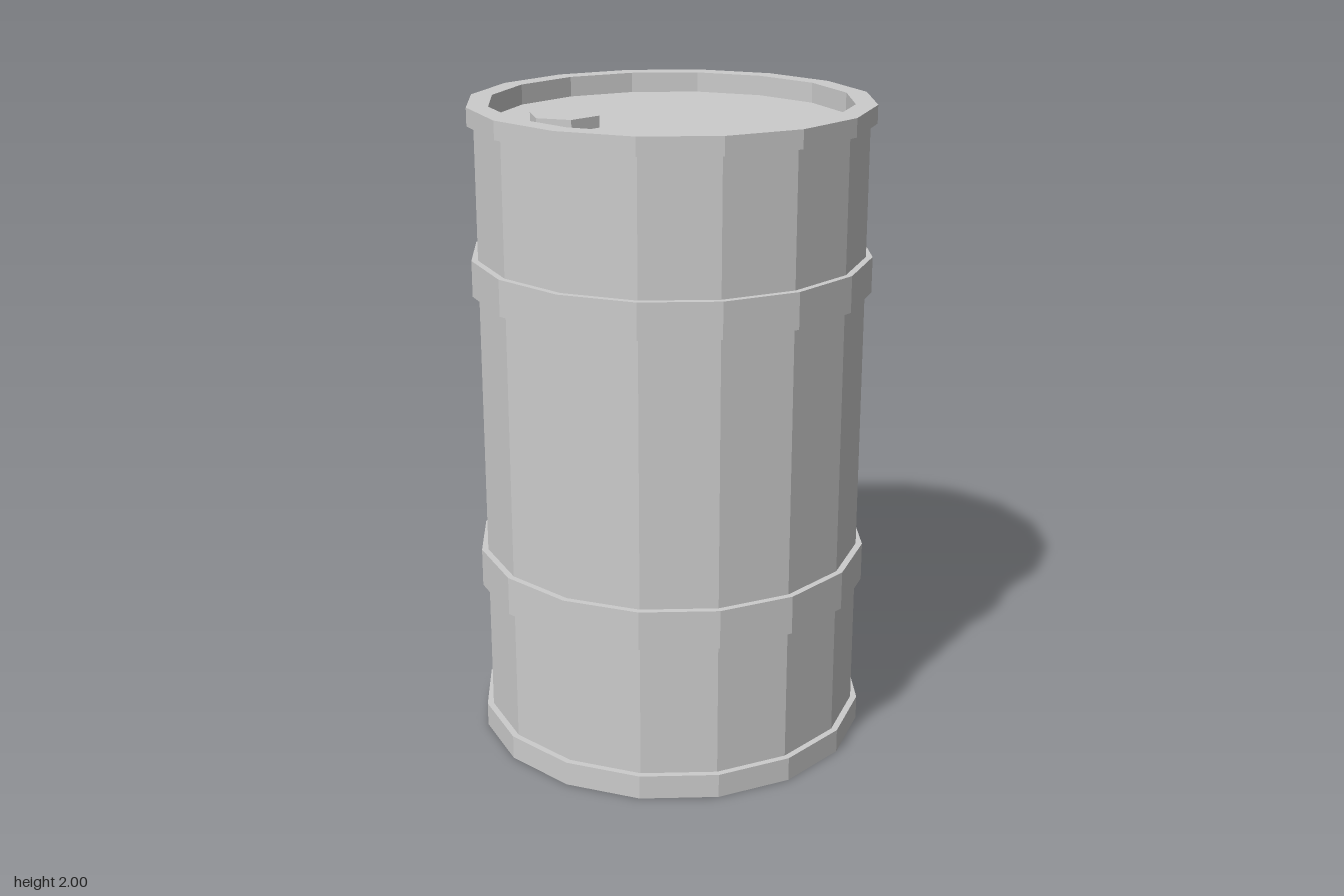
import * as THREE from 'three';

const SIDES = 16;
const TURN = THREE.MathUtils.degToRad(7.6); // the facets are turned slightly off axis
const BODY = 0.59, RIM = 0.61, INNER = 0.545;
const LID_Y = 1.938, BASE_Y = 0.03;

const material = new THREE.MeshStandardMaterial({ color: 0xcccccc, flatShading: true });

function addMesh(group, name, geometry) {
  const mesh = new THREE.Mesh(geometry, material);
  mesh.name = name;
  group.add(mesh);
  return mesh;
}

// Faceted ring or disc from [radius, height] points, running up the outside
function addLathe(group, name, profile) {
  const points = profile.map(([r, y]) => new THREE.Vector2(r, y));
  return addMesh(group, name, new THREE.LatheGeometry(points, SIDES, TURN));
}

export function createModel() {
  const drum = new THREE.Group();
  drum.name = 'drum';

  // Straight wall between the two end rims
  addLathe(drum, 'wall', [[BODY, 0.075], [BODY, 1.945]]);

  // End rims, each with an inner lip around the recessed disc
  addLathe(drum, 'bottomRim', [[INNER, BASE_Y], [INNER, 0], [RIM, 0], [RIM, 0.075], [BODY, 0.075]]);
  addLathe(drum, 'topRim', [[BODY, 1.945], [RIM, 1.945], [RIM, 2], [INNER, 2], [INNER, LID_Y]]);

  // Recessed lid and base
  addLathe(drum, 'lid', [[INNER, LID_Y], [0, LID_Y]]);
  addLathe(drum, 'base', [[0, BASE_Y], [INNER, BASE_Y]]);

  // Raised hoops around the wall
  for (const [name, low, high] of [['lowerHoop', 0.495, 0.615], ['upperHoop', 1.435, 1.545]]) {
    addLathe(drum, name, [[BODY, low], [RIM, low], [RIM, high], [BODY, high]]);
  }

  // Hexagonal filler cap on the lid
  const cap = addMesh(drum, 'fillerCap', new THREE.CylinderGeometry(0.108, 0.108, 0.035, 6, 1, false, Math.PI / 2));
  cap.position.set(-0.273, LID_Y + 0.0175, 0.175);

  return drum;
}
